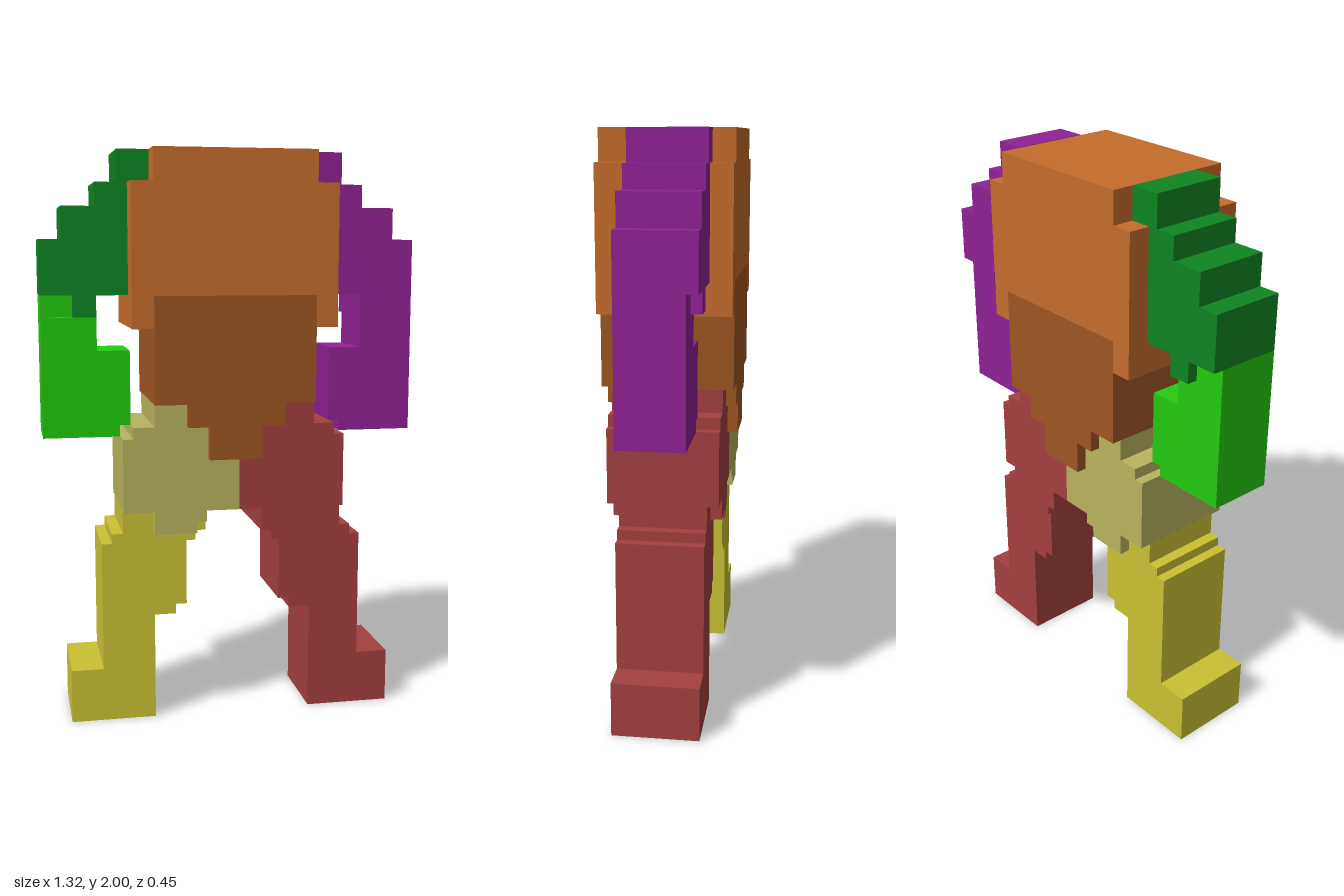
import * as THREE from 'three';

const mat = (name, color) => {
  const m = new THREE.MeshStandardMaterial({ color });
  m.name = name;
  return m;
};

// Stepped outline in x/y, extruded between two depths
function slab(name, points, z0, z1, material) {
  const shape = new THREE.Shape(points.map(([x, y]) => new THREE.Vector2(x, y)));
  const geo = new THREE.ExtrudeGeometry(shape, { depth: z1 - z0, bevelEnabled: false });
  geo.translate(0, 0, z0);
  const mesh = new THREE.Mesh(geo, material);
  mesh.name = name;
  return mesh;
}

const mirror = (points) => points.map(([x, y]) => [-x, y]);

export function createModel() {
  const model = new THREE.Group();
  model.name = 'blockFigure';
  const orange = mat('orange', 0xc66c2c);
  const brown = mat('brown', 0x9e5622);
  const darkGreen = mat('darkGreen', 0x0f8521);
  const green = mat('brightGreen', 0x22cb10);
  const purple = mat('purple', 0x902194);
  const red = mat('red', 0xa44040);
  const khaki = mat('khaki', 0xb9b45f);
  const yellow = mat('yellow', 0xcac234);

  // Torso: chest wraps over the top of the belly
  model.add(slab('chest', [
    [-0.36, 1.4], [-0.285, 1.4], [-0.285, 1.51], [0.28, 1.51], [0.28, 1.4], [0.355, 1.4],
    [0.355, 1.89], [0.28, 1.89], [0.28, 2], [-0.285, 2], [-0.285, 1.89], [-0.36, 1.89],
  ], -0.226, 0.226, orange));
  model.add(slab('belly', [
    [-0.285, 1.51], [-0.285, 1.14], [-0.17, 1.14], [-0.17, 1.06], [-0.095, 1.06], [-0.095, 0.945],
    [0.09, 0.945], [0.09, 1.06], [0.17, 1.06], [0.17, 1.14], [0.28, 1.14], [0.28, 1.51],
  ], -0.226, 0.226, brown));

  // Arms, outlined on the +x side
  const upperArm = [
    [0.285, 2], [0.285, 1.51], [0.47, 1.51], [0.47, 1.435], [0.55, 1.435], [0.55, 1.51],
    [0.66, 1.51], [0.66, 1.7], [0.585, 1.7], [0.585, 1.81], [0.47, 1.81], [0.47, 1.89],
    [0.395, 1.89], [0.395, 2],
  ];
  const foreArm = [
    [0.395, 1.02], [0.66, 1.02], [0.66, 1.51], [0.55, 1.51], [0.55, 1.435], [0.47, 1.435],
    [0.47, 1.32], [0.357, 1.32], [0.357, 1.06], [0.395, 1.06],
  ];
  const notchedForeArm = [
    ...foreArm.slice(0, 3), [0.625, 1.51], [0.625, 1.435], ...foreArm.slice(5),
  ];
  model.add(slab('leftUpperArm', upperArm, -0.15, 0.113, purple));
  model.add(slab('leftForearm', foreArm, -0.113, 0.113, purple));
  model.add(slab('rightUpperArm', mirror(upperArm), -0.15, 0.113, darkGreen));
  model.add(slab('rightForearm', mirror(foreArm), -0.113, 0.075, green));
  model.add(slab('rightForearmFront', mirror(notchedForeArm), 0.075, 0.113, green));

  // Hips meet just off the centre line
  const hipTop = [
    [0.393, 0.76], [0.393, 1.02], [0.357, 1.02], [0.357, 1.06], [0.283, 1.06], [0.283, 1.14],
  ];
  model.add(slab('leftHip', [
    ...hipTop, [0.015, 1.14], [0.015, 0.76], [0.095, 0.76], [0.095, 0.68], [0.13, 0.68],
    [0.13, 0.645], [0.165, 0.645], [0.165, 0.68], [0.28, 0.68], [0.28, 0.76],
  ], -0.19, 0.19, red));
  model.add(slab('rightHip', [
    ...mirror(hipTop), [0.015, 1.14], [0.015, 0.76], [-0.1, 0.76], [-0.1, 0.72],
    [-0.135, 0.72], [-0.135, 0.68], [-0.285, 0.68], [-0.285, 0.76],
  ], -0.19, 0.19, khaki));

  // Legs with outward feet
  const leg = [
    [0.283, 0], [0.582, 0], [0.582, 0.19], [0.468, 0.19], [0.468, 0.645], [0.432, 0.645],
    [0.432, 0.68], [0.393, 0.68], [0.393, 0.76], [0.1, 0.72], [0.1, 0.682], [0.135, 0.682],
    [0.135, 0.647], [0.168, 0.647], [0.168, 0.415], [0.207, 0.415], [0.207, 0.38], [0.283, 0.38],
  ];
  leg.splice(9, 0, [0.283, 0.76], [0.283, 0.72]);
  model.add(slab('leftLeg', leg, -0.15, 0.15, red));
  model.add(slab('rightLeg', mirror(leg), -0.15, 0.15, yellow));
  return model;
}
